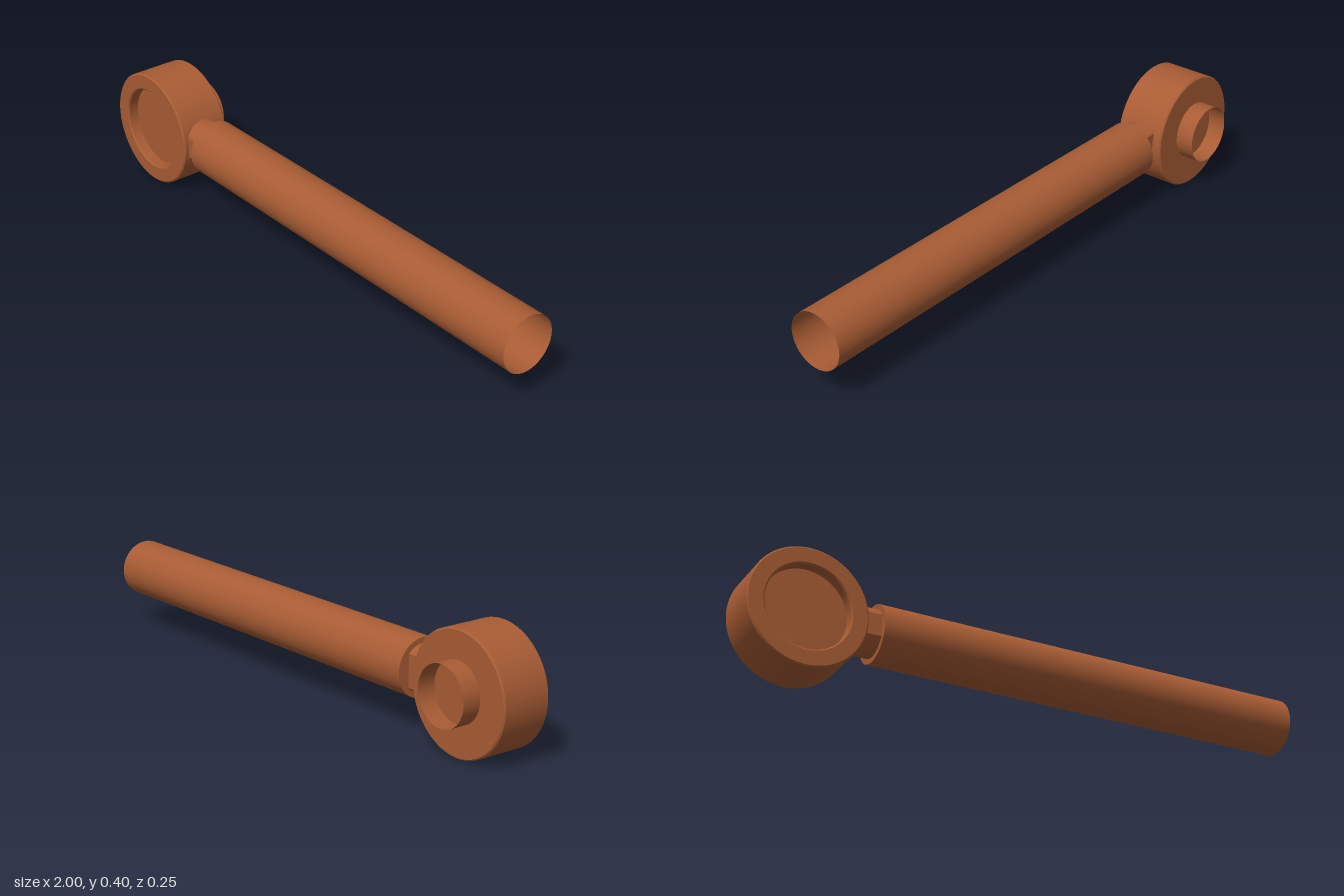
import * as THREE from 'three';
import { toCreasedNormals } from 'three/addons/utils/BufferGeometryUtils.js';

const AXIS_Y = 0.205, AXIS_Z = 0.028, HEAD_X = -0.798;
const SHOULDER_X = -0.545, SHAFT_R = 0.098, NECK_R = 0.08;

// Round section with two flats, one on each side
function traceNeck(path) {
  const front = Math.acos(0.071 / NECK_R), back = Math.acos(-0.058 / NECK_R);
  path.absarc(0, 0, NECK_R, front, back, false);
  path.absarc(0, 0, NECK_R, -back, -front, false);
  path.closePath();
  return path;
}

export function createModel() {
  const model = new THREE.Group();
  const material = new THREE.MeshStandardMaterial({ color: 0xa85c34, side: THREE.DoubleSide });

  const add = (name, geometry, x, y, z) => {
    const mesh = new THREE.Mesh(geometry, material);
    mesh.name = name;
    mesh.position.set(x, y, z);
    model.add(mesh);
  };

  // Head: chamfered drum with a shallow recess in its front
  const profile = [
    [0, -0.062], [0.197, -0.062], [0.202, -0.057], [0.202, 0.113], [0.197, 0.118],
    [0.148, 0.118], [0.143, 0.113], [0.143, 0.078], [0, 0.078],
  ].map(([r, h]) => new THREE.Vector2(r, h));
  const head = new THREE.LatheGeometry(profile, 72).rotateX(Math.PI / 2);
  add('head', toCreasedNormals(head, 0.5), HEAD_X, 0.203, 0);

  // Open collar on the back of the head
  const collar = new THREE.CylinderGeometry(0.1, 0.1, 0.065, 64, 1, true).rotateX(Math.PI / 2);
  add('backCollar', collar, HEAD_X, 0.21, -0.0945);

  // Hollow shaft, open at the far end
  const length = 1 - SHOULDER_X;
  const shaft = new THREE.CylinderGeometry(SHAFT_R, SHAFT_R, length, 64, 1, true).rotateZ(Math.PI / 2);
  add('shaft', shaft, SHOULDER_X + length / 2, AXIS_Y, AXIS_Z);

  // Shoulder ring closing the shaft around the neck
  const ring = new THREE.Shape().absarc(0, 0, SHAFT_R, 0, Math.PI * 2, false);
  ring.holes.push(traceNeck(new THREE.Path()));
  const shoulder = new THREE.ShapeGeometry(ring, 32).rotateY(-Math.PI / 2);
  add('shoulder', shoulder, SHOULDER_X, AXIS_Y, AXIS_Z);

  // Neck: walls only, running from the shoulder into the head
  const solid = new THREE.ExtrudeGeometry(traceNeck(new THREE.Shape()), {
    depth: 0.073, bevelEnabled: false, curveSegments: 24,
  });
  const walls = solid.getAttribute('position').array.slice(solid.groups[1].start * 3);
  const neck = new THREE.BufferGeometry();
  neck.setAttribute('position', new THREE.BufferAttribute(walls, 3));
  neck.rotateY(-Math.PI / 2);
  add('neck', toCreasedNormals(neck, 0.4), SHOULDER_X, AXIS_Y, AXIS_Z);

  return model;
}
